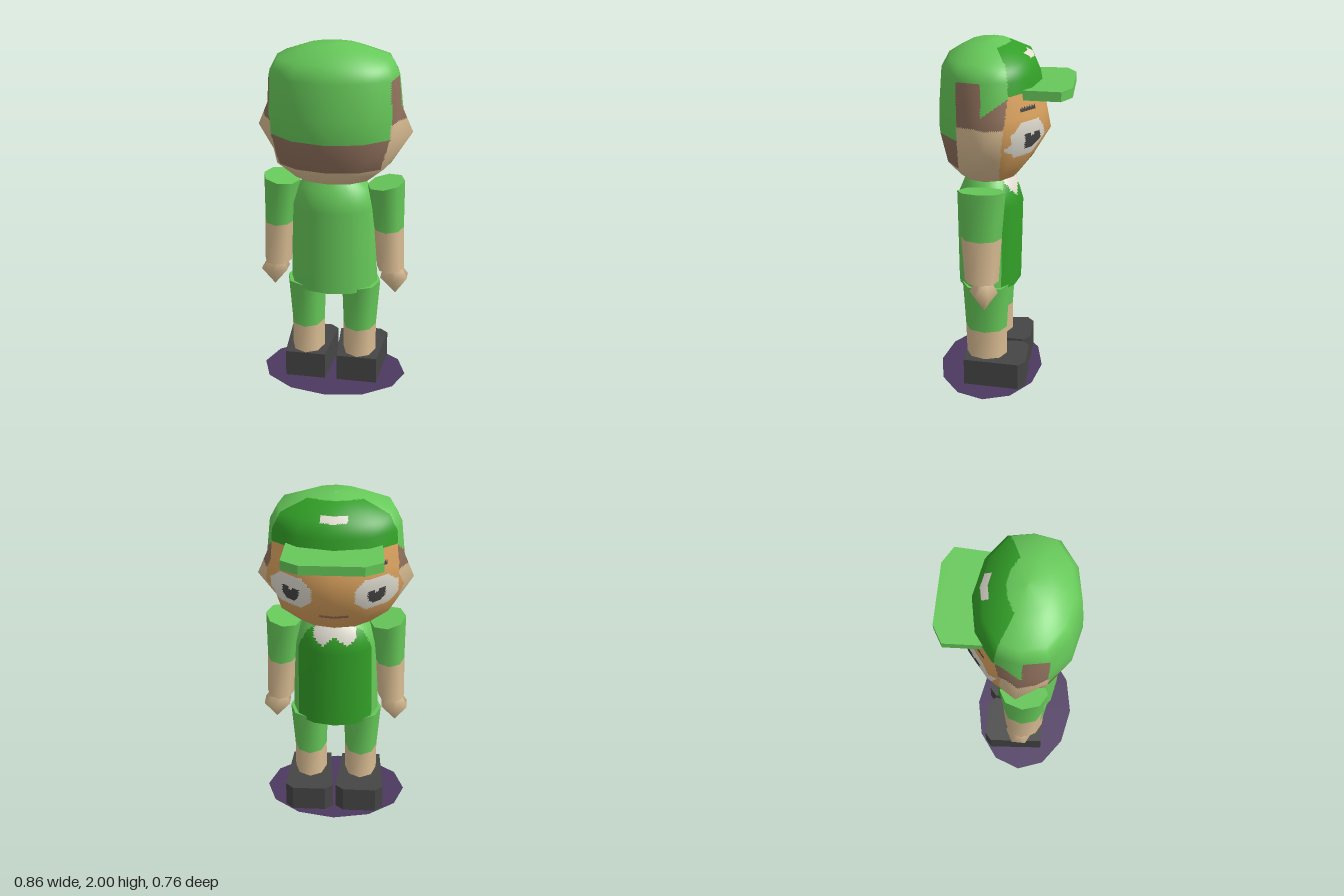
import * as THREE from 'three';

const mat = (name, color, side = THREE.FrontSide) => {
  const m = new THREE.MeshStandardMaterial({ color, side });
  m.name = name;
  return m;
};
const M = {
  green: mat('light green', 0x66c859),
  darkGreen: mat('dark green', 0x329f27),
  skin: mat('skin', 0xdabd93),
  face: mat('face tan', 0xdaa25e),
  hair: mat('hair brown', 0x8f705c),
  black: mat('charcoal', 0x454545),
  white: mat('off white', 0xe2ded2),
  shadow: mat('base purple', 0x4c3960, THREE.DoubleSide),
};

// Loft through rings [y, halfWidth, zFront, zBack, centreX, sideHalfWidth], bottom to top.
// tilt slants the topmost ring sideways. Caps get their own corners so their edges stay sharp.
function loft(rings, sides, tilt = 0) {
  const pos = [], idx = [], last = rings.length - 1;
  const corner = (j, i) => {
    const [y, rx, zf, zb, cx = 0, side = rx] = rings[j];
    const t = (i / sides) * Math.PI * 2, s = Math.sin(t);
    const dx = Math.abs(s) > 0.99 ? side * Math.sign(s) : rx * s;
    return [cx + dx, y + (j === last ? tilt * dx : 0), (zf + zb) / 2 + ((zb - zf) / 2) * Math.cos(t)];
  };
  for (let j = 0; j <= last; j++) for (let i = 0; i < sides; i++) pos.push(...corner(j, i));
  for (let j = 0; j < last; j++) for (let i = 0; i < sides; i++) {
    const a = j * sides + i, b = j * sides + (i + 1) % sides;
    idx.push(a, b, b + sides, a, b + sides, a + sides);
  }
  for (const j of [0, last]) {
    const [y, rx, zf, zb, cx = 0] = rings[j];
    if (rx < 0.01) continue;
    const c = pos.length / 3;
    pos.push(cx, y, (zf + zb) / 2);
    for (let i = 0; i < sides; i++) pos.push(...corner(j, i));
    for (let i = 0; i < sides; i++) {
      const a = c + 1 + i, b = c + 1 + (i + 1) % sides;
      if (j) idx.push(c, a, b); else idx.push(c, b, a);
    }
  }
  const g = new THREE.BufferGeometry();
  g.setAttribute('position', new THREE.Float32BufferAttribute(pos, 3));
  g.setIndex(idx);
  g.computeVertexNormals();
  return g;
}

// Split each triangle into n*n pieces, keeping smooth normals, and sort the pieces by colour rule.
function painted(name, geo, n, rule) {
  const buckets = new Map(), P = geo.attributes.position, N = geo.attributes.normal, ix = geo.index.array;
  const mix = (A, t, u, v) => {
    const out = new THREE.Vector3(), p = new THREE.Vector3();
    [1 - (u + v) / n, u / n, v / n].forEach((w, k) => out.addScaledVector(p.fromBufferAttribute(A, ix[t + k]), w));
    return out;
  };
  for (let t = 0; t < ix.length; t += 3) {
    const add = (...uv) => {
      const p = uv.map(([u, v]) => mix(P, t, u, v));
      const c = new THREE.Vector3().add(p[0]).add(p[1]).add(p[2]).divideScalar(3);
      const m = rule(c.x, c.y, c.z);
      if (!buckets.has(m)) buckets.set(m, { pos: [], nor: [] });
      const b = buckets.get(m);
      p.forEach((q) => b.pos.push(q.x, q.y, q.z));
      uv.forEach(([u, v]) => b.nor.push(...mix(N, t, u, v).normalize().toArray()));
    };
    for (let u = 0; u < n; u++) for (let v = 0; u + v < n; v++) {
      add([u, v], [u + 1, v], [u, v + 1]);
      if (u + v < n - 1) add([u + 1, v], [u + 1, v + 1], [u, v + 1]);
    }
  }
  const out = new THREE.BufferGeometry(), pos = [], nor = [], mats = [];
  for (const [m, b] of buckets) {
    out.addGroup(pos.length / 3, b.pos.length / 3, mats.length);
    mats.push(m);
    for (const q of b.pos) pos.push(q);
    for (const q of b.nor) nor.push(q);
  }
  out.setAttribute('position', new THREE.Float32BufferAttribute(pos, 3));
  out.setAttribute('normal', new THREE.Float32BufferAttribute(nor, 3));
  const mesh = new THREE.Mesh(out, mats);
  mesh.name = name;
  return mesh;
}

// Flat slab from an outline of [x, z] points
function slab(name, outline, y, height, material) {
  const shape = new THREE.Shape(outline.map(([x, z]) => new THREE.Vector2(x, -z)));
  const g = new THREE.ExtrudeGeometry(shape, { depth: height, bevelEnabled: false });
  g.rotateX(-Math.PI / 2).translate(0, y, 0);
  const mesh = new THREE.Mesh(g, material);
  mesh.name = name;
  return mesh;
}

// Cap, hair, skin and face colours of the head
function headColour(x, y, z) {
  const ax = Math.abs(x);
  if (y > 1.77) {
    const edge = ax < 0.08 ? -0.035 + ax * 0.19
      : ax < 0.15 ? -0.02 + (ax - 0.08) * 0.57 : 0.02 - (ax - 0.15) * 0.44;
    if (z < edge && (y > 1.84 || z < -0.06)) {
      const patch = ax < 0.073 && z > -0.165 + ax * 0.2 && z < -0.125 + ax * 0.2;
      return patch ? M.white : M.darkGreen;
    }
  } else if (z < -0.06 * (y - 1.26) / 0.51) {
    const ex = Math.abs(ax - 0.23), ey = Math.abs(y - 1.525);
    if (ex < 0.045 - Math.max(0, 1.51 - y) * 0.6 && y > 1.47 && y < 1.555 - (ex < 0.012 ? 0.012 : 0)) return M.black;
    if (ex < 0.115 && ey < 0.095 && ey < 0.155 - ex) return M.white;
    if (Math.abs(y - 1.69) < 0.009 && ax > 0.19 && ax < 0.28) return M.black;
    if (ax < 0.08 && Math.abs(y - 1.37) < 0.009) return M.hair;
    return M.face;
  }
  if (z > 0.065 && z > 0.213) return y > 1.52 ? M.green : y > 1.35 ? M.hair : M.skin;
  if (y > 1.84) return M.green;
  if (y < 1.6) return M.skin;
  return z < 0.08 && y > 1.66 + (0.08 - z) * 0.73 ? M.green : M.hair;
}

function torsoColour(x, y, z) {
  if (z > -0.012) return M.green;
  const ax = Math.abs(x);
  return ax < 0.12 && y > 1.13 + 0.9 * Math.abs(ax - 0.07) ? M.white : M.darkGreen;
}

export function createModel() {
  const model = new THREE.Group();
  model.name = 'figure';

  // Head with cap
  model.add(painted('head', loft([
    [1.26, 0.225, -0.09, 0.25],
    [1.35, 0.34, -0.16, 0.32, 0, 0.32],
    [1.52, 0.38, -0.26, 0.365, 0, 0.43],
    [1.65, 0.385, -0.235, 0.36, 0, 0.375],
    [1.84, 0.38, -0.2, 0.345, 0, 0.355],
    [1.925, 0.33, -0.16, 0.3, 0, 0.31],
    [1.988, 0.15, -0.04, 0.19],
    [2.0, 0.002, 0.068, 0.072],
  ], 12), 14, headColour));
  model.add(slab('capBrim', [[-0.255, -0.125], [0.255, -0.125], [0.265, -0.33],
    [0.17, -0.385], [-0.17, -0.385], [-0.265, -0.33]], 1.735, 0.053, M.green));

  // Shirt
  model.add(painted('torso', loft([
    [0.6, 0.25, -0.1, 0.265],
    [1.09, 0.24, -0.11, 0.27],
    [1.2, 0.2, -0.075, 0.225],
    [1.26, 0.12, -0.02, 0.18],
  ], 12), 8, torsoColour));

  for (const s of [1, -1]) {
    const side = s > 0 ? 'left' : 'right';
    // Arm with sleeve, and hand
    model.add(painted(side + 'Arm', loft([
      [0.715, 0.078, -0.01, 0.18, s * 0.328],
      [0.97, 0.086, -0.025, 0.2, s * 0.312],
      [1.232, 0.104, -0.045, 0.22, s * 0.294],
    ], 8, s * 0.15), 1, (x, y) => (y > 0.97 ? M.green : M.skin)));
    model.add(painted(side + 'Hand', loft([
      [0.545, 0.002, 0.068, 0.072, s * 0.355],
      [0.655, 0.087, -0.007, 0.152, s * 0.348],
      [0.73, 0.045, 0.035, 0.115, s * 0.34],
    ], 6), 1, () => M.skin));

    // Leg with trouser and bare shin, and shoe
    model.add(painted(side + 'Leg', loft([
      [0.15, 0.096, -0.035, 0.2, s * 0.153],
      [0.34, 0.096, -0.035, 0.205, s * 0.153],
      [0.62, 0.112, -0.05, 0.22, s * 0.158],
    ], 8), 1, (x, y) => (y > 0.34 ? M.green : M.skin)));
    model.add(slab(side + 'Shoe', [[0.035, 0.205], [0.27, 0.205], [0.295, -0.115],
      [0.25, -0.155], [0.055, -0.155], [0.008, -0.115]].map(([x, z]) => [s * x, z]), 0, 0.165, M.black));
  }

  // Flat base disc
  const disc = new THREE.Mesh(new THREE.CircleGeometry(1, 12), M.shadow);
  disc.name = 'baseDisc';
  disc.rotation.x = -Math.PI / 2;
  disc.scale.set(0.425, 0.305, 1);
  disc.position.set(0, 0.005, 0.075);
  model.add(disc);
  return model;
}
